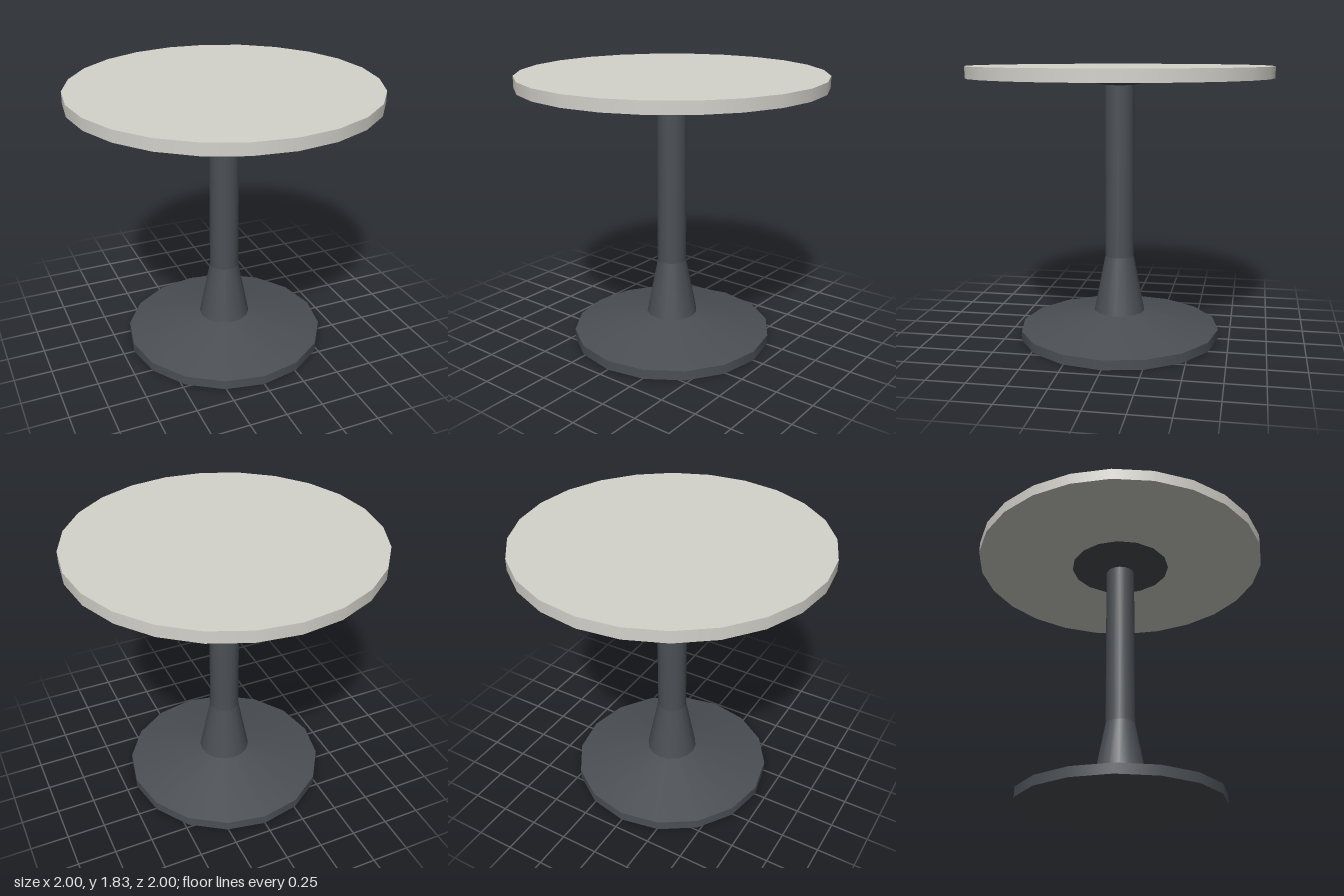
import * as THREE from 'three';

export function createModel() {
  const group = new THREE.Group();
  group.name = 'pedestalTable';

  const topPaint = new THREE.MeshStandardMaterial({ color: 0xd4d2cb });
  topPaint.name = 'pale stone';
  const metal = new THREE.MeshStandardMaterial({ color: 0x4b4f54 });
  metal.name = 'dark metal';

  // Round section between two heights
  function addSection(name, material, rBottom, rTop, y0, y1, sides, open = false) {
    const geometry = new THREE.CylinderGeometry(rTop, rBottom, y1 - y0, sides, 1, open);
    const mesh = new THREE.Mesh(geometry, material);
    mesh.name = name;
    mesh.position.y = (y0 + y1) / 2;
    group.add(mesh);
  }

  // Foot: flat disc with a shallow cone above it
  addSection('baseDisc', metal, 0.676, 0.676, 0, 0.064, 16);
  addSection('baseCone', metal, 0.676, 0.172, 0.064, 0.176, 16, true);

  // Column: flared lower part and straight shaft
  addSection('columnFlare', metal, 0.172, 0.098, 0.176, 0.556, 16, true);
  addSection('columnShaft', metal, 0.098, 0.098, 0.556, 1.704, 16, true);

  // Support cone beneath the top
  addSection('topSupport', metal, 0.098, 0.342, 1.704, 1.751, 16, true);

  // Table top
  addSection('tableTop', topPaint, 1, 1, 1.751, 1.827, 24);

  return group;
}
